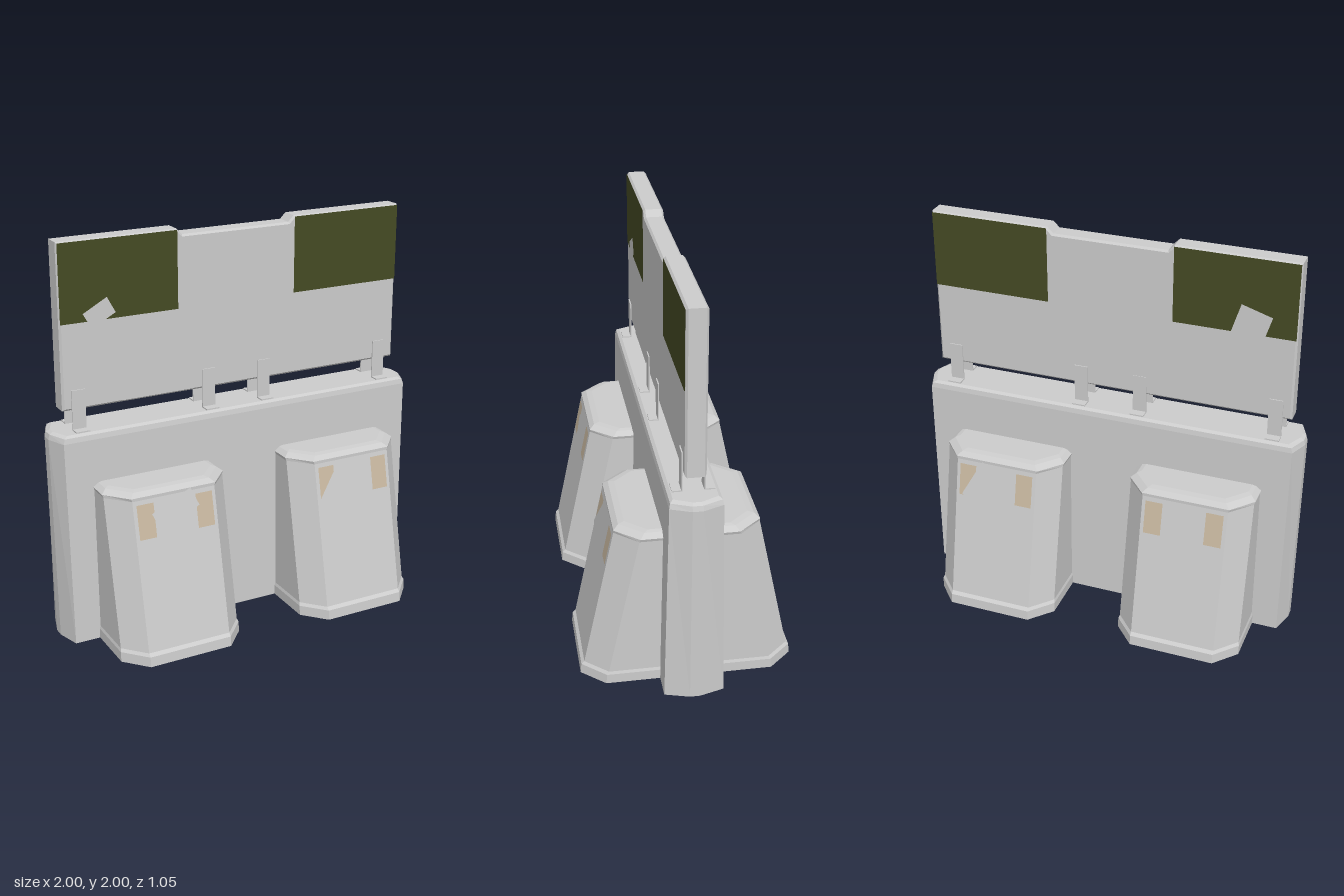
import * as THREE from 'three';

const grey = new THREE.MeshStandardMaterial({ color: 0xcccccc });
const olive = new THREE.MeshStandardMaterial({ color: 0x454a24 });
const tan = new THREE.MeshStandardMaterial({ color: 0xc8b8a0 });

function add(parent, name, geometry, material = grey) {
  const mesh = new THREE.Mesh(geometry, material);
  mesh.name = name;
  parent.add(mesh);
  return mesh;
}

// Closed solid through stacked rings of [x, z] points, with flat faces
function loft(levels) {
  const pos = [];
  const tri = (...pts) => pts.forEach(p => pos.push(...p));
  const rings = levels.map(({ y, ring }) => ring.map(([x, z]) => [x, y, z]));
  const n = rings[0].length;
  for (let r = 0; r < rings.length - 1; r++) {
    for (let i = 0; i < n; i++) {
      const j = (i + 1) % n, lo = rings[r], hi = rings[r + 1];
      tri(lo[i], hi[i], hi[j]);
      tri(lo[i], hi[j], lo[j]);
    }
  }
  const last = rings[rings.length - 1];
  for (let i = 1; i < n - 1; i++) {
    tri(rings[0][0], rings[0][i], rings[0][i + 1]);
    tri(last[0], last[i + 1], last[i]);
  }
  const g = new THREE.BufferGeometry();
  g.setAttribute('position', new THREE.Float32BufferAttribute(pos, 3));
  g.computeVertexNormals();
  return g;
}

// Octagon with half sizes x, z and corners cut by cx, cz
function octagon(x, z, cx, cz) {
  return [[x, z - cz], [x - cx, z], [cx - x, z], [-x, z - cz],
    [-x, cz - z], [cx - x, -z], [x - cx, -z], [x, cz - z]];
}

// Flat panel laid on a face, centred at x, y
function panel(parent, name, x, y, w, h, turn = 0, material = grey) {
  const mesh = add(parent, name, new THREE.PlaneGeometry(w, h), material);
  mesh.position.set(x, y, 0.003);
  mesh.rotation.z = turn;
  return mesh;
}

// Group whose local xy plane lies on a face leaning back from (y0, z0) to (y1, z1)
function face(parent, name, y0, z0, y1, z1) {
  const g = new THREE.Group();
  g.name = name;
  g.position.set(0, y0, z0);
  g.rotation.x = -Math.atan2(z0 - z1, y1 - y0);
  parent.add(g);
  return g;
}

export function createModel() {
  const model = new THREE.Group();
  model.name = 'roadBarrier';

  // Barrier wall, slightly tapered with a bevelled top
  add(model, 'barrierBody', loft([
    { y: 0, ring: octagon(0.985, 0.145, 0.035, 0.12) },
    { y: 1.05, ring: octagon(1, 0.125, 0.04, 0.1) },
    { y: 1.075, ring: octagon(0.993, 0.12, 0.04, 0.095) },
    { y: 1.085, ring: octagon(0.975, 0.105, 0.04, 0.085) },
  ]));

  // Ballast feet straddling the wall
  for (const x of [-0.5, 0.5]) {
    add(model, 'ballastFoot', loft([
      { y: 0, ring: octagon(0.322, 0.525, 0.105, 0.115) },
      { y: 0.05, ring: octagon(0.322, 0.52, 0.105, 0.115) },
      { y: 0.065, ring: octagon(0.317, 0.505, 0.1, 0.11) },
      { y: 0.795, ring: octagon(0.317, 0.35, 0.1, 0.11) },
      { y: 0.81, ring: octagon(0.322, 0.35, 0.1, 0.115) },
      { y: 0.83, ring: octagon(0.295, 0.325, 0.095, 0.11) },
      { y: 0.835, ring: octagon(0.275, 0.295, 0.09, 0.1) },
    ])).position.x = x;
  }

  // Sign board with a shallow notch in its top edge
  const outline = new THREE.Shape([
    [-0.93, 1.185], [0.93, 1.185], [0.93, 2], [0.32, 2], [0.29, 1.97],
    [-0.29, 1.97], [-0.32, 2], [-0.93, 2],
  ].map(p => new THREE.Vector2(...p)));
  const board = add(model, 'signBoard', new THREE.ExtrudeGeometry(outline, {
    depth: 0.08, bevelThickness: 0.01, bevelSize: 0.01, bevelOffset: -0.01, bevelSegments: 1,
  }));
  board.position.z = -0.04;

  // Everything shared by the front and the back
  for (const front of [true, false]) {
    const side = new THREE.Group();
    side.name = front ? 'frontDetails' : 'backDetails';
    side.rotation.y = front ? 0 : Math.PI;
    model.add(side);
    const sign = face(side, 'signFace', 0, 0.05, 1, 0.05);
    const wall = face(side, 'wallFace', 0, 0.145, 1.05, 0.125);
    const foot = face(side, 'footFace', 0.065, 0.505, 0.795, 0.35);

    for (const s of [-1, 1]) {
      panel(sign, 'reflector', s * 0.623, 1.803, 0.605, 0.385, 0, olive);
      for (const x of [0.345, 0.655]) panel(foot, 'strap', s * x, 0.64, 0.088, 0.17, 0, tan);
    }

    // L-shaped brackets holding the board
    for (const bx of [-0.85, -0.16, 0.15, 0.84]) {
      const x = front ? bx : -bx;
      const bracket = new THREE.Group();
      bracket.name = 'bracket';
      side.add(bracket);
      add(bracket, 'bracketPlate', new THREE.BoxGeometry(0.07, 0.2, 0.006)).position.set(x, 1.185, 0.053);
      add(bracket, 'bracketBase', new THREE.BoxGeometry(0.07, 0.006, 0.05)).position.set(x, 1.088, 0.075);
    }

    // Patches on the board, wall and feet
    if (front) {
      panel(sign, 'topPatch', 0.02, 1.885, 0.56, 0.15);
      panel(sign, 'lowerPatch', -0.435, 1.26, 0.38, 0.13);
      panel(sign, 'sidePatch', 0.615, 1.47, 0.23, 0.09, -0.07);
      panel(sign, 'tiltedPatch', -0.73, 1.645, 0.14, 0.09, 0.5).position.z = 0.006;
      panel(wall, 'widePatch', -0.475, 0.94, 0.85, 0.22);
      panel(wall, 'cornerPatch', 0.86, 0.99, 0.17, 0.1, -0.08);
      panel(foot, 'tiltedPatch', -0.5, 0.67, 0.23, 0.1, 0.4).position.z = 0.006;
      panel(foot, 'tiltedPatch', 0.405, 0.595, 0.14, 0.21, -0.6).position.z = 0.006;
      panel(foot, 'tallPatch', 0.6, 0.38, 0.19, 0.4);
    } else {
      panel(sign, 'tiltedPatch', 0, 1.7, 0.13, 0.26, 0.15);
      panel(sign, 'cornerPatch', 0.7, 1.63, 0.16, 0.22, -0.3).position.z = 0.006;
      panel(sign, 'lowerPatch', 0.3, 1.26, 0.38, 0.1);
      panel(wall, 'widePatch', 0.3, 0.95, 0.95, 0.14);
      panel(foot, 'tiltedPatch', -0.56, 0.62, 0.16, 0.22, -0.5).position.z = 0.006;
      panel(foot, 'smallPatch', -0.4, 0.44, 0.2, 0.15);
    }
  }
  return model;
}
